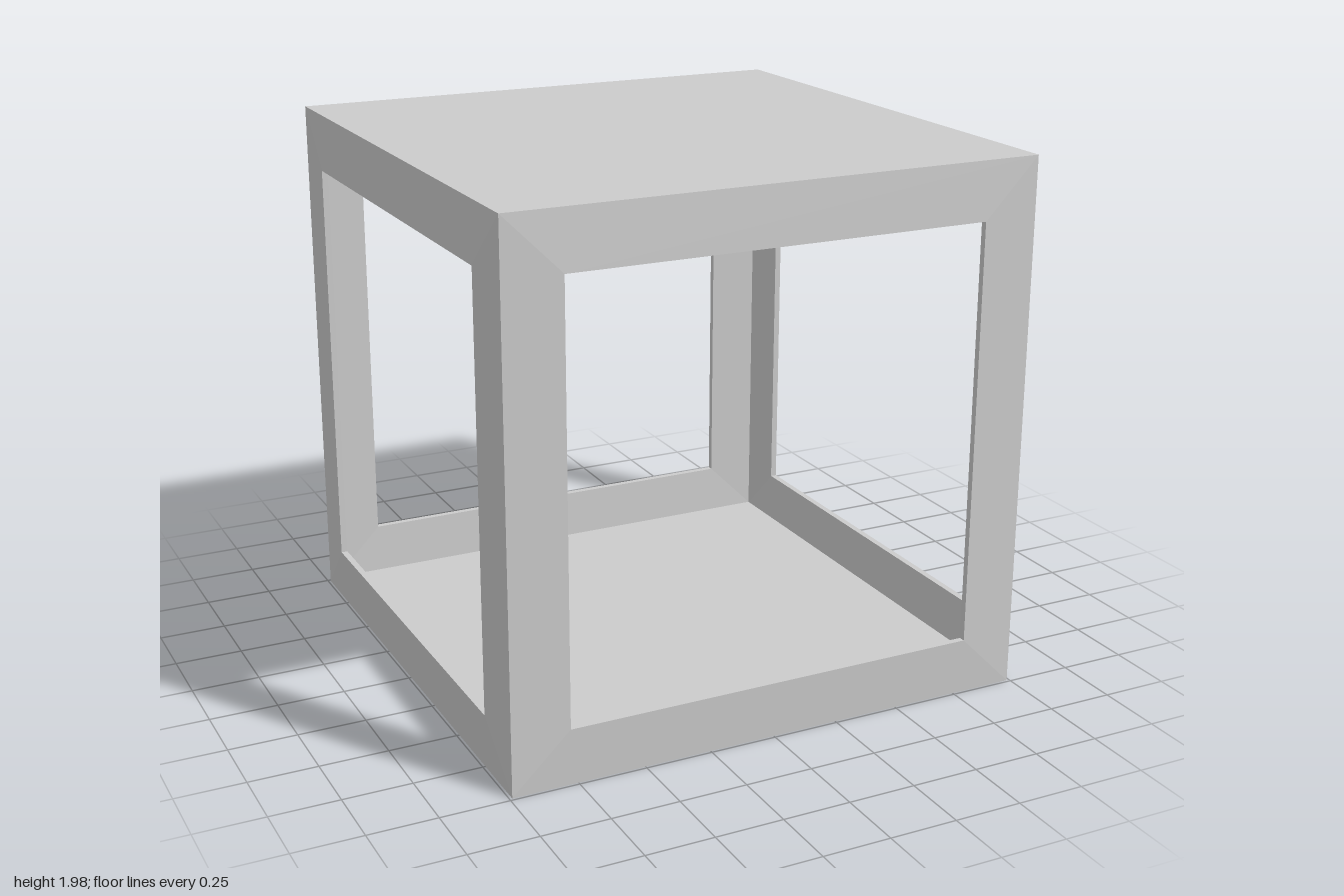
import * as THREE from 'three';

const OUTER = 0.99;       // half size at the outer edges
const INNER = 0.968;      // half size of the hollow inside
const WINDOW = 0.78;      // half size of the window openings
const material = new THREE.MeshStandardMaterial({ color: 0xcccccc, flatShading: true });

// One wall facing +z: square rings joined outer edge > window > reveal > inner edge
function wallGeometry() {
  const rings = [[OUTER, OUTER], [WINDOW, 1], [WINDOW, 0.976], [INNER, INNER]];
  const signs = [[-1, -1], [1, -1], [1, 1], [-1, 1]];
  const corner = (r, i) => [signs[i % 4][0] * rings[r][0], signs[i % 4][1] * rings[r][0], rings[r][1]];
  const positions = [];
  for (let r = 0; r < 3; r++) {
    for (let i = 0; i < 4; i++) {
      const a = corner(r, i), b = corner(r, i + 1), c = corner(r + 1, i + 1), d = corner(r + 1, i);
      positions.push(...a, ...b, ...c, ...a, ...c, ...d);
    }
  }
  const geometry = new THREE.BufferGeometry();
  geometry.setAttribute('position', new THREE.Float32BufferAttribute(positions, 3));
  geometry.computeVertexNormals();
  return geometry;
}

export function createModel() {
  const model = new THREE.Group();
  model.name = 'openCube';

  // Four window walls
  const wall = wallGeometry();
  ['frontWall', 'leftWall', 'backWall', 'rightWall'].forEach((name, i) => {
    const mesh = new THREE.Mesh(wall, material);
    mesh.name = name;
    mesh.position.y = OUTER;
    mesh.rotation.y = i * Math.PI / 2;
    model.add(mesh);
  });

  // Floor and ceiling, each an outer and an inner skin
  for (const [name, side] of [['floor', -1], ['ceiling', 1]]) {
    const slab = new THREE.Group();
    slab.name = name;
    for (const [skin, half, facing] of [['Outside', OUTER, side], ['Inside', INNER, -side]]) {
      const mesh = new THREE.Mesh(new THREE.PlaneGeometry(2 * half, 2 * half), material);
      mesh.name = name + skin;
      mesh.rotation.x = -facing * Math.PI / 2;
      mesh.position.y = OUTER + side * half;
      slab.add(mesh);
    }
    model.add(slab);
  }
  return model;
}
